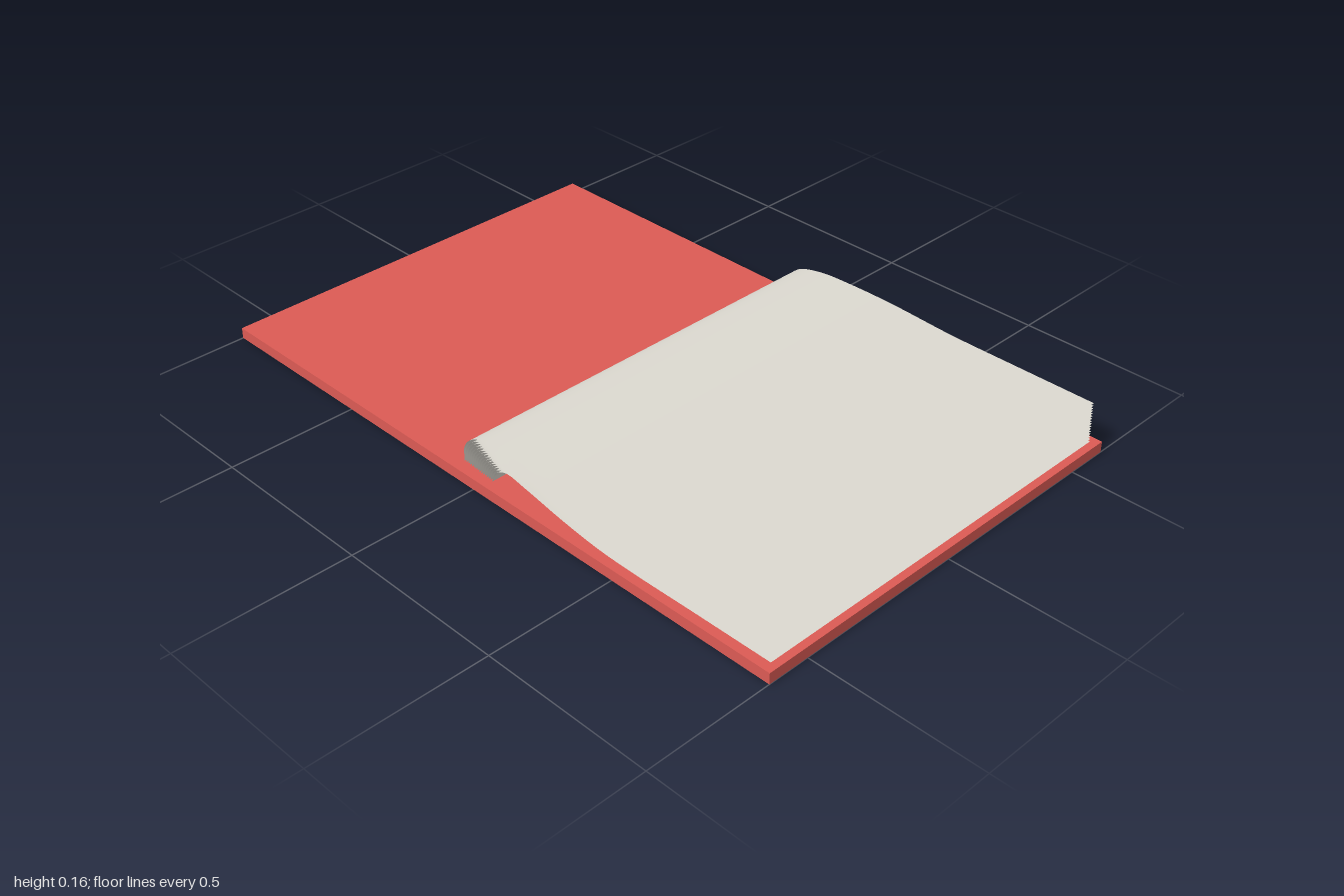
import * as THREE from 'three';

export function createModel() {
  const book = new THREE.Group();
  book.name = 'openBook';
  const coverRed = new THREE.MeshStandardMaterial({ color: 0xdc5b54 });
  coverRed.name = 'coverRed';
  const paper = new THREE.MeshStandardMaterial({ color: 0xdcd9d0, side: THREE.DoubleSide });
  paper.name = 'paper';

  // Flat opened cover board
  const cover = new THREE.Mesh(new THREE.BoxGeometry(2, 0.032, 1.25), coverRed);
  cover.name = 'cover';
  cover.position.y = 0.016;
  book.add(cover);

  // Side profiles (x, y) of the lowest and the highest page, from spine to fore-edge
  const lowest = [[0.045, 0.036], [0.06, 0.068], [0.1, 0.09], [0.17, 0.082], [0.3, 0.058], [0.42, 0.041], [0.52, 0.035], [0.75, 0.035], [0.98, 0.035]];
  const highest = [[-0.06, 0.045], [-0.056, 0.092], [-0.02, 0.13], [0.06, 0.152], [0.17, 0.158], [0.32, 0.158], [0.52, 0.151], [0.75, 0.15], [0.975, 0.15]];

  // One thin curved sheet, with a slight twist along its arched part
  function makePage(t) {
    const points = lowest.map(([x, y], i) => new THREE.Vector3(
      THREE.MathUtils.lerp(x, highest[i][0], t), THREE.MathUtils.lerp(y, highest[i][1], t), 0));
    const curve = new THREE.CatmullRomCurve3(points, false, 'centripetal');
    const segments = 48;
    const geometry = new THREE.PlaneGeometry(1, 1.2, segments, 1);
    geometry.rotateX(-Math.PI / 2);
    const position = geometry.attributes.position;
    for (let i = 0; i < position.count; i++) {
      const u = THREE.MathUtils.clamp(position.getX(i) + 0.5, 0, 1);
      const p = curve.getPoint(u);
      const z = position.getZ(i);
      const twist = p.x < 0.52 ? 0.004 * Math.sin(Math.PI * (p.x + 0.06) / 0.58) : 0;
      position.setXYZ(i, p.x, p.y - z * twist, z);
    }
    geometry.computeVertexNormals();
    return new THREE.Mesh(geometry, paper);
  }

  // Stack of pages
  const pages = new THREE.Group();
  pages.name = 'pages';
  const count = 16;
  for (let i = 0; i < count; i++) {
    const page = makePage(i / (count - 1));
    page.name = `page${i + 1}`;
    pages.add(page);
  }
  book.add(pages);
  return book;
}
